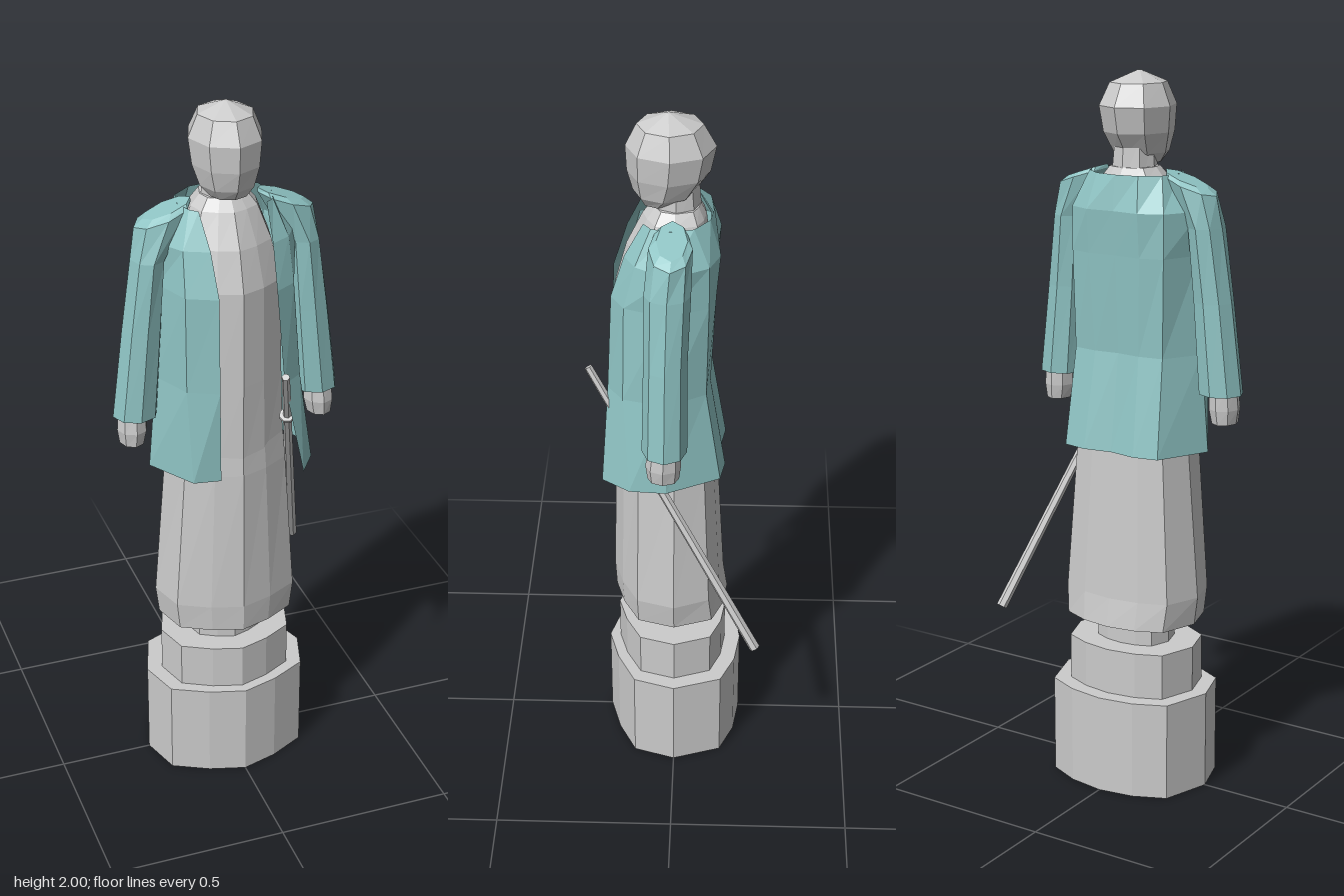
import * as THREE from 'three';

const GREY = 0xcccccc, TEAL = 0x8fc4c4;

function mat(color, open) {
  return new THREE.MeshStandardMaterial({
    color, flatShading: true, side: open ? THREE.DoubleSide : THREE.FrontSide,
  });
}

// Skins a stack of rings (each an array of Vector3, counter-clockwise seen from above, lowest first)
function loft(name, rings, color, { closed = true, bottom = true, top = true, open = false } = {}) {
  const pos = [], n = rings[0].length;
  const tri = (...pts) => pts.forEach((p) => pos.push(p.x, p.y, p.z));
  for (let j = 0; j < rings.length - 1; j++) {
    const a = rings[j], b = rings[j + 1];
    for (let i = 0; i < (closed ? n : n - 1); i++) {
      const k = (i + 1) % n;
      tri(a[i], a[k], b[k]);
      tri(a[i], b[k], b[i]);
    }
  }
  const cap = (ring, up) => {
    const c = ring.reduce((s, p) => s.add(p), new THREE.Vector3()).divideScalar(n);
    ring.forEach((p, i) => {
      const q = ring[(i + 1) % n];
      up ? tri(c, p, q) : tri(c, q, p);
    });
  };
  if (bottom) cap(rings[0], false);
  if (top) cap(rings[rings.length - 1], true);
  const g = new THREE.BufferGeometry();
  g.setAttribute('position', new THREE.Float32BufferAttribute(pos, 3));
  g.computeVertexNormals();
  const mesh = new THREE.Mesh(g, mat(color, open));
  mesh.name = name;
  return mesh;
}

// Twelve-sided outline, as fractions of half width and front/back depth
const HALF = [[0, 1], [0.43, 0.85], [0.85, 0.59], [1, 0], [0.81, -0.71], [0.43, -0.92], [0, -1]];
const OUTLINE = [...HALF, ...HALF.slice(1, -1).reverse().map(([x, z]) => [-x, z])];
// Horizontal body ring: height, half width, front z, back z
const bodyRing = ([y, w, f, b]) =>
  OUTLINE.map(([x, z]) => new THREE.Vector3(x * w, y, z > 0 ? z * f : -z * b));

// Eight-sided ring with free centre, radii and sideways tilt
function oval(cx, y, cz, rx, rz, tilt = 0) {
  return Array.from({ length: 8 }, (_, i) => {
    const a = (i / 8) * Math.PI * 2, dx = Math.sin(a) * rx;
    return new THREE.Vector3(cx + dx, y + dx * tilt, cz + Math.cos(a) * rz);
  });
}

function plinth() {
  const g = new THREE.Group();
  g.name = 'plinth';
  [
    ['plinthBase', 0, 0.28, 0.235, 0.195, -0.19],
    ['plinthStep', 0.28, 0.41, 0.19, 0.165, -0.145],
    ['plinthNeck', 0.41, 0.5, 0.11, 0.1, -0.08],
  ].forEach(([name, y0, y1, w, f, b]) => g.add(
    loft(name, [bodyRing([y0, w, f, b]), bodyRing([y1, w, f, b])], GREY, { bottom: false, open: true })));
  return g;
}

function coat() {
  // Each row: height, left front edge, left front, left side, three back points, right front, right edge
  const rows = [
    [0.98, [0.163, 0.195], [0.215, 0.12], [0.222, 0.02], [0.15, -0.125], [0.08, -0.138], [0, -0.125], [-0.14, 0.155], [-0.065, 0.167]],
    [1.25, [0.11, 0.178], [0.17, 0.135], [0.2, 0.02], [0.14, -0.085], [0.07, -0.095], [0, -0.088], [-0.15, 0.135], [-0.07, 0.175]],
    [1.52, [0.09, 0.166], [0.15, 0.13], [0.19, 0.02], [0.145, -0.09], [0.08, -0.108], [0, -0.103], [-0.15, 0.13], [-0.07, 0.168]],
    [1.64, [0.09, 0.13], [0.145, 0.1], [0.2, 0.01], [0.145, -0.09], [0.08, -0.118], [0, -0.112], [-0.145, 0.1], [-0.08, 0.13]],
    [1.735, [0.09, 0.08], [0.115, 0.06], [0.13, 0.01], [0.115, -0.05], [0.065, -0.09], [0, -0.1], [-0.115, 0.06], [-0.095, 0.08]],
  ];
  const rings = rows.map(([y, eL, fL, side, b1, b2, b3, fR, eR]) => {
    const flip = ([x, z]) => [-x, z];
    return [eL, fL, side, b1, b2, b3, flip(b2), flip(b1), flip(side), fR, eR]
      .map(([x, z]) => new THREE.Vector3(x, y, z));
  });
  return loft('coat', rings, TEAL, { closed: false, bottom: false, top: false, open: true });
}

function arm(s) {
  const g = new THREE.Group();
  g.name = s > 0 ? 'leftArm' : 'rightArm';
  const build = (name, specs, color) => g.add(loft(name,
    specs.map(([cx, y, cz, rx, rz, t = 0]) => oval(s * cx, y, cz, rx, rz, s * t)), color));
  // Sleeve, ending in a sloped shoulder that reaches the collar
  build('sleeve', [
    [0.26, 1.15, 0.022, 0.062, 0.06],
    [0.236, 1.4, 0.02, 0.055, 0.057],
    [0.215, 1.6, 0.015, 0.047, 0.06],
    [0.17, 1.71, 0.008, 0.078, 0.056, -0.33],
    [0.158, 1.725, 0.005, 0.065, 0.04, -0.33],
  ], TEAL);
  build('hand', [
    [0.272, 1.07, 0.025, 0.034, 0.042],
    [0.27, 1.11, 0.025, 0.042, 0.047],
    [0.268, 1.17, 0.022, 0.04, 0.042],
  ], GREY);
  return g;
}

function sword() {
  const g = new THREE.Group();
  g.name = 'sword';
  const hilt = new THREE.Vector3(0.092, 1.3, 0.23), tip = new THREE.Vector3(0.303, 0.505, -0.23);
  const len = hilt.distanceTo(tip);
  const scabbard = new THREE.Mesh(new THREE.CylinderGeometry(0.011, 0.015, len, 6), mat(GREY));
  scabbard.name = 'scabbard';
  const guard = new THREE.Mesh(new THREE.CylinderGeometry(0.022, 0.022, 0.01, 8), mat(GREY));
  guard.name = 'swordGuard';
  guard.position.y = len * 0.28;
  g.add(scabbard, guard);
  g.position.copy(hilt).add(tip).multiplyScalar(0.5);
  g.quaternion.setFromUnitVectors(new THREE.Vector3(0, 1, 0), hilt.clone().sub(tip).normalize());
  return g;
}

export function createModel() {
  const model = new THREE.Group();
  model.name = 'robedStatue';
  model.add(plinth());

  // Long skirt with a tucked hem, then the chest of the robe up to the neck
  model.add(loft('skirt', [
    [0.48, 0.195, 0.172, -0.15], [0.56, 0.205, 0.176, -0.138],
    [0.98, 0.172, 0.166, -0.115], [1.06, 0.165, 0.16, -0.1],
  ].map(bodyRing), GREY));
  model.add(loft('robe', [
    [1.0, 0.165, 0.162, -0.1], [1.25, 0.155, 0.162, -0.075], [1.52, 0.15, 0.158, -0.09],
    [1.63, 0.125, 0.128, -0.09], [1.72, 0.09, 0.085, -0.08], [1.75, 0.065, 0.06, -0.065],
  ].map(bodyRing), GREY));
  model.add(loft('neck', [
    oval(0, 1.7, -0.005, 0.065, 0.065), oval(0, 1.82, 0, 0.055, 0.06),
  ], GREY));

  // Faceted head
  model.add(loft('head', [
    oval(0, 1.757, 0.045, 0.05, 0.045),
    oval(0, 1.785, 0.03, 0.075, 0.08),
    oval(0, 1.84, 0.018, 0.092, 0.107),
    oval(0, 1.91, 0.012, 0.1, 0.116),
    oval(0, 1.97, 0.014, 0.075, 0.085),
    oval(0, 2.0, 0.018, 0.006, 0.006),
  ], GREY));

  model.add(coat(), arm(1), arm(-1), sword());
  return model;
}
